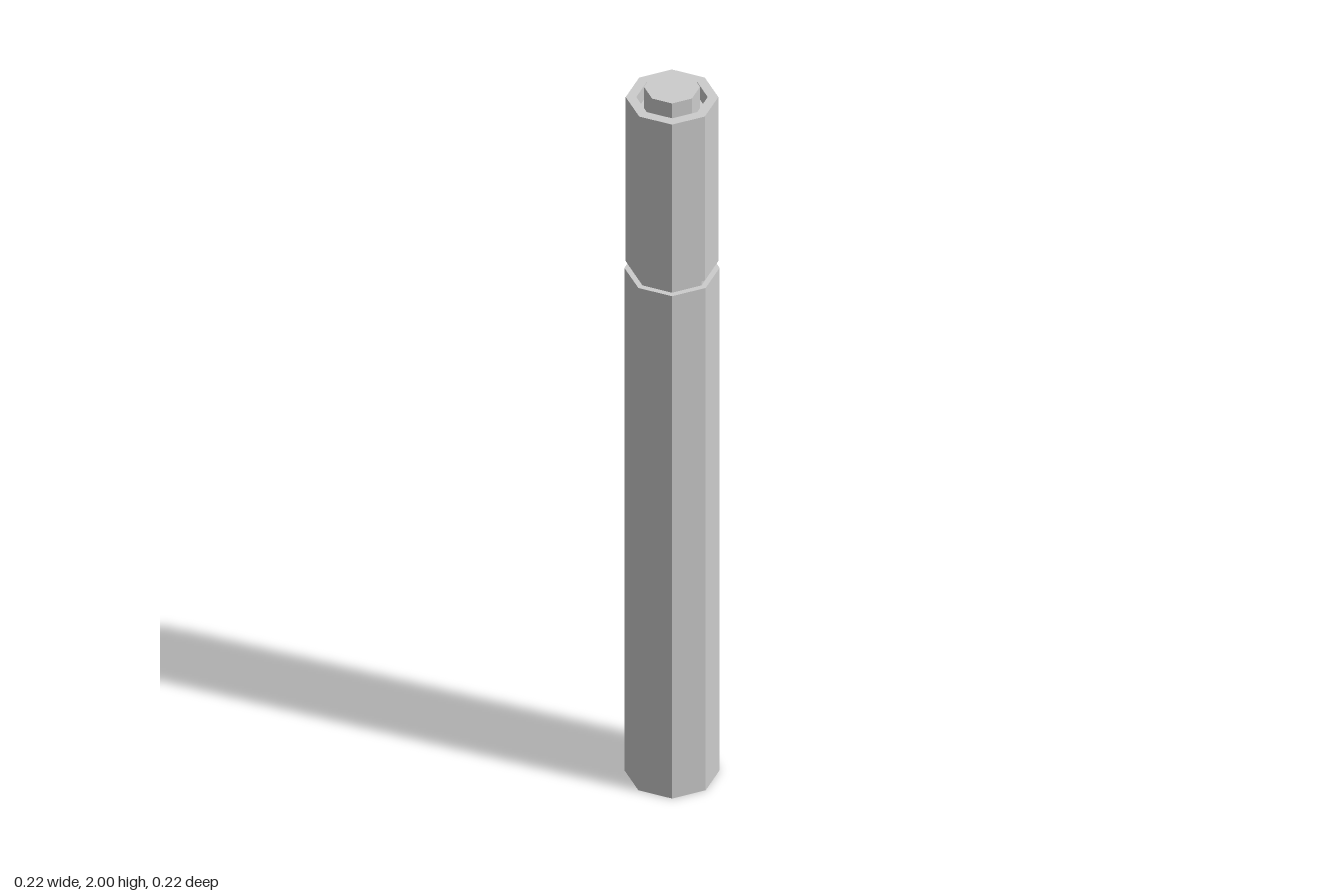
import * as THREE from 'three';

const SIDES = 8;

export function createModel() {
  const group = new THREE.Group();
  const material = new THREE.MeshStandardMaterial({ color: 0xcccccc, flatShading: true });

  // Turns a [radius, height] profile, listed bottom to top, into an eight-sided part
  const addPart = (name, profile) => {
    const points = profile.map(([r, y]) => new THREE.Vector2(r, y));
    const mesh = new THREE.Mesh(new THREE.LatheGeometry(points, SIDES), material);
    mesh.name = name;
    group.add(mesh);
  };

  // Long lower barrel
  addPart('barrel', [[0, 0], [0.112, 0], [0.112, 1.47], [0, 1.47]]);

  // Narrow neck between barrel and cap
  addPart('neck', [[0.098, 1.47], [0.098, 1.49]]);

  // Cap with a recessed top
  addPart('cap', [[0, 1.49], [0.109, 1.49], [0.109, 1.97], [0.084, 1.97], [0.084, 1.93], [0, 1.93]]);

  // Plug standing in the recess
  addPart('plug', [[0.066, 1.93], [0.066, 2], [0, 2]]);

  return group;
}
